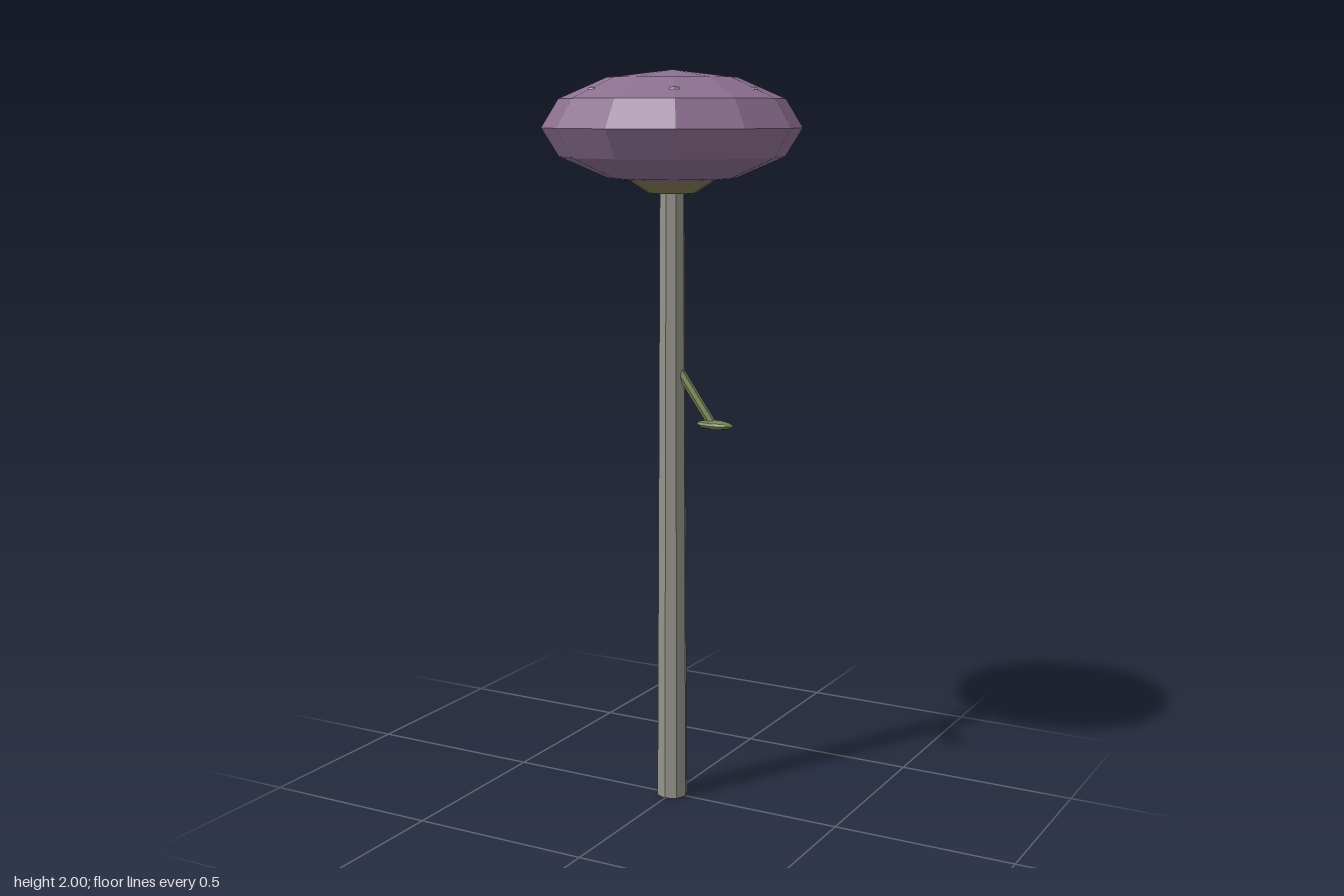
import * as THREE from 'three';

const paint = (color) => new THREE.MeshStandardMaterial({ color, flatShading: true });

function addPart(group, name, geometry, material) {
  const mesh = new THREE.Mesh(geometry, material);
  mesh.name = name;
  group.add(mesh);
  return mesh;
}

export function createModel() {
  const model = new THREE.Group();
  model.name = 'mushroom';
  const green = paint(0x74804f);

  // Tall, slightly tapering stem
  addPart(model, 'stem', new THREE.CylinderGeometry(0.034, 0.043, 1.72, 8), paint(0x94948a))
    .position.y = 0.86;

  // Faceted, squashed cap
  const cap = addPart(model, 'cap', new THREE.SphereGeometry(0.345, 12, 6), paint(0x8c6f90));
  cap.scale.y = 0.15 / 0.345;
  cap.position.y = 1.85;

  // Shallow gills where the cap meets the stem
  addPart(model, 'gills', new THREE.CylinderGeometry(0.125, 0.062, 0.04, 12), paint(0x857a58))
    .position.y = 1.70;

  // Six small spots barely breaking the cap surface
  const spotMaterial = paint(0xb5a8bb);
  const spotGeometry = new THREE.SphereGeometry(1, 6, 4);
  for (let i = 0; i < 6; i++) {
    const angle = (i * Math.PI) / 3;
    const spot = addPart(model, 'spot', spotGeometry, spotMaterial);
    spot.position.set(0.24 * Math.cos(angle), 1.945, 0.24 * Math.sin(angle));
    spot.scale.set(0.009, 0.01, 0.017);
    spot.rotation.y = -angle;
  }

  // Drooping side sprout with a flat leaf on the model's left
  const sprout = new THREE.Group();
  sprout.name = 'sprout';
  model.add(sprout);
  const start = new THREE.Vector3(0.02, 1.21, 0);
  const end = new THREE.Vector3(0.125, 1.065, 0);
  const along = end.clone().sub(start);
  const stalk = addPart(sprout, 'stalk', new THREE.CylinderGeometry(0.012, 0.013, along.length(), 6), green);
  stalk.position.addVectors(start, end).multiplyScalar(0.5);
  stalk.quaternion.setFromUnitVectors(new THREE.Vector3(0, 1, 0), along.normalize());

  const leaf = addPart(sprout, 'leaf', new THREE.SphereGeometry(1, 8, 6), green);
  leaf.scale.set(0.055, 0.013, 0.027);
  leaf.position.set(0.13, 1.067, 0);

  return model;
}
